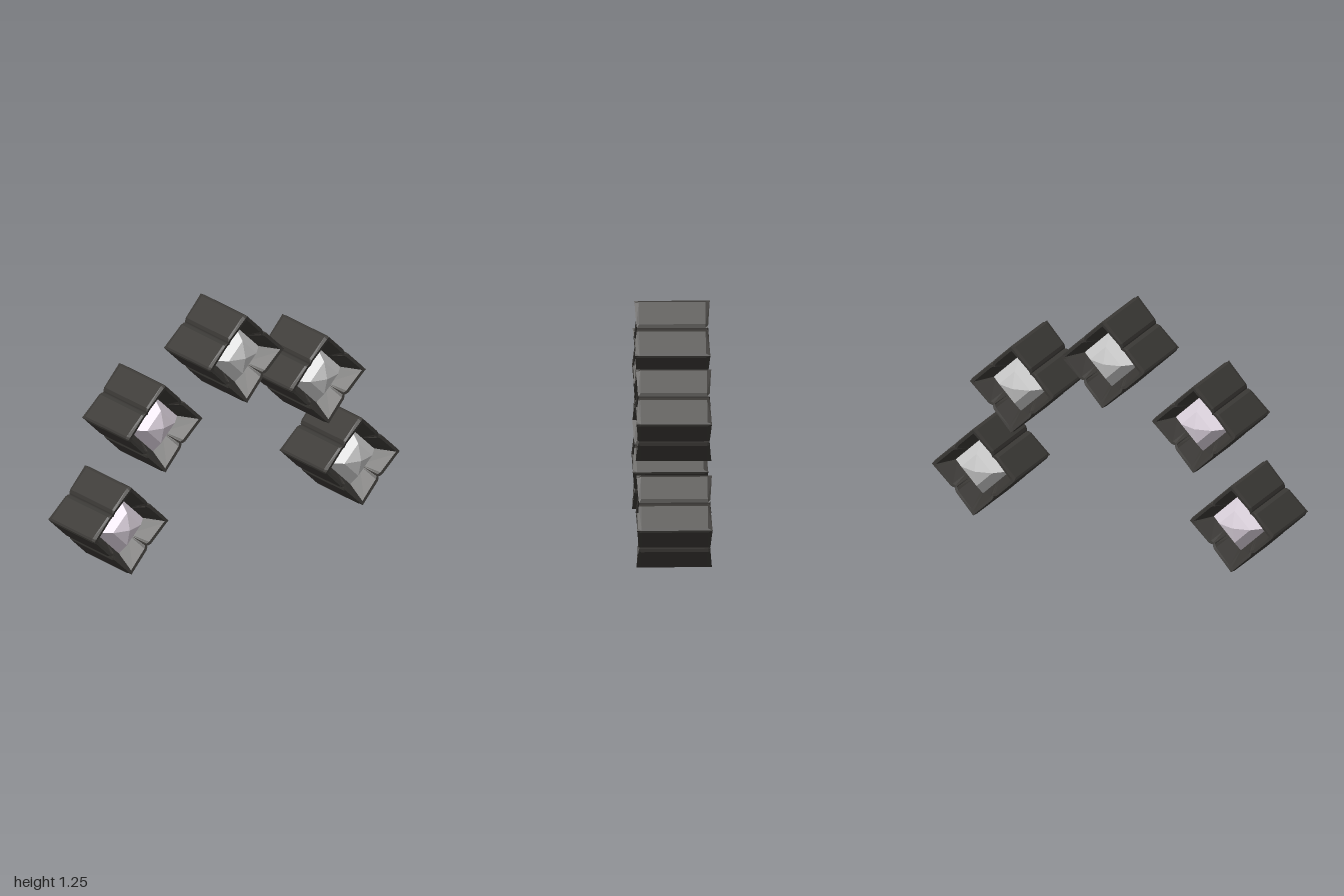
import * as THREE from 'three';

const frameMat = new THREE.MeshStandardMaterial({ color: 0x3b3936, flatShading: true });
const greyMat = new THREE.MeshStandardMaterial({ color: 0xcccccc, flatShading: true });
const lilacMat = new THREE.MeshStandardMaterial({ color: 0xddd3de, flatShading: true });

// Stations along one plank, from the mitred corner to the groove at mid-side:
// t = position along the side, o = outer face distance, z = rim depth
const stations = [
  { t: n => n, o: 0.171, z: 0.196 },
  { t: n => n - 0.016, o: 0.176, z: 0.194 },
  { t: () => 0.022, o: 0.176, z: 0.186 },
  { t: () => 0.006, o: 0.166, z: 0.183 },
  { t: () => 0, o: 0.16, z: 0.181 },
];

// Cross-section of the plank as [distance from centre, z], front to back
function section({ o, z }) {
  const rim = Math.min(o, 0.171);
  const half = [[o, 0.172], [rim, z], [rim - 0.015, z - 0.004], [0.113, 0.09]];
  return [...half, ...half.map(([n, d]) => [n, -d]).reverse()];
}

// Loft one half-side plank; side = 1 or -1 mirrors it along the edge
function plankGeometry(side) {
  const pos = [], idx = [];
  let count = 0;
  for (const s of stations) {
    const ring = section(s);
    count = ring.length;
    for (const [n, z] of ring) pos.push(side * s.t(n), n, z);
  }
  for (let j = 0; j < stations.length - 1; j++) {
    for (let k = 0; k < count; k++) {
      const a = j * count + k, b = j * count + (k + 1) % count;
      const c = b + count, d = a + count;
      if (side > 0) idx.push(a, c, b, a, d, c);
      else idx.push(a, b, c, a, c, d);
    }
  }
  const g = new THREE.BufferGeometry();
  g.setAttribute('position', new THREE.Float32BufferAttribute(pos, 3));
  g.setIndex(idx);
  const flat = g.toNonIndexed();
  flat.computeVertexNormals();
  return flat;
}

export function createModel() {
  const model = new THREE.Group();
  model.name = 'lanternArch';
  const planks = [plankGeometry(1), plankGeometry(-1)];

  // Four-sided glass ball, poles to front and back, ridges in the frame corners
  const glass = new THREE.SphereGeometry(0.181, 4, 6).rotateX(Math.PI / 2).rotateZ(Math.PI / 4);

  // Diamond lanterns along the arch
  const spots = [[-0.758, 0.245], [-0.535, 0.76], [0, 1.013], [0.535, 0.76], [0.758, 0.245]];
  spots.forEach(([x, y], i) => {
    const lantern = new THREE.Group();
    lantern.name = 'lantern' + (i + 1);
    lantern.position.set(x, y, 0);
    lantern.rotation.z = Math.PI / 4;

    // Four sides, two planks each
    for (let q = 0; q < 4; q++) {
      for (const geo of planks) {
        const plank = new THREE.Mesh(geo, frameMat);
        plank.name = 'framePlank';
        plank.rotation.z = q * Math.PI / 2;
        lantern.add(plank);
      }
    }

    const ball = new THREE.Mesh(glass, x < 0 ? lilacMat : greyMat);
    ball.name = 'glassBall';
    lantern.add(ball);
    model.add(lantern);
  });
  return model;
}
